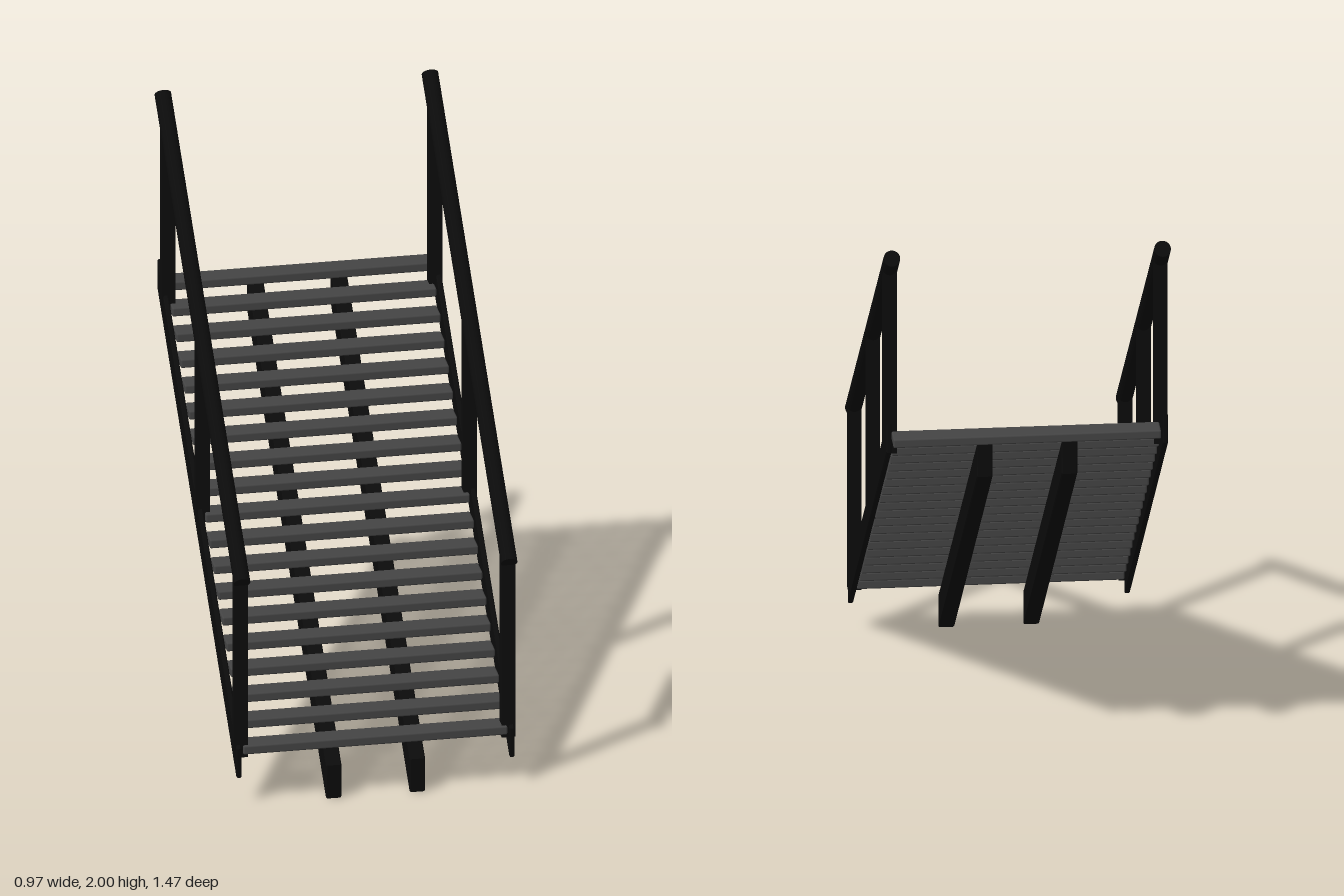
import * as THREE from 'three';
import { RoundedBoxGeometry } from 'three/addons/geometries/RoundedBoxGeometry.js';

const SLOPE = 0.813; // rise over run
const FRONT = 0.718; // half length in z
const TREADS = 19;

const black = new THREE.MeshStandardMaterial({ color: 0x0b0b0b });
const grey = new THREE.MeshStandardMaterial({ color: 0x444444 });

function add(parent, name, geometry, material, x = 0, y = 0, z = 0) {
  const mesh = new THREE.Mesh(geometry, material);
  mesh.name = name;
  mesh.position.set(x, y, z);
  parent.add(mesh);
  return mesh;
}

// Sloping beam with plumb-cut ends; bottom and top are heights at the front end
function beamGeometry(bottom, top, width) {
  const bevel = 0.004;
  const rise = 2 * FRONT * SLOPE;
  const f = FRONT - bevel;
  const shape = new THREE.Shape([
    new THREE.Vector2(-f, bottom + bevel),
    new THREE.Vector2(f, bottom + rise + bevel),
    new THREE.Vector2(f, top + rise - bevel),
    new THREE.Vector2(-f, top - bevel),
  ]);
  const geometry = new THREE.ExtrudeGeometry(shape, {
    depth: width - 2 * bevel, bevelEnabled: true, bevelSize: bevel,
    bevelThickness: bevel, bevelSegments: 1,
  });
  geometry.translate(0, 0, -width / 2 + bevel);
  geometry.rotateY(Math.PI / 2); // shape x becomes -z
  return geometry;
}

export function createModel() {
  const model = new THREE.Group();
  model.name = 'staircase';

  // Treads
  const treadGeometry = new RoundedBoxGeometry(0.9, 0.032, 0.077, 2, 0.006);
  const treads = new THREE.Group();
  treads.name = 'treads';
  model.add(treads);
  for (let i = 0; i < TREADS; i++) {
    add(treads, 'tread', treadGeometry, grey, 0, 0.197 + i * 0.0614, 0.677 - i * 0.0756);
  }

  const sideBeam = beamGeometry(0.1, 0.207, 0.018);
  const centreBeam = beamGeometry(0, 0.122, 0.053);
  const postGeometry = new THREE.BoxGeometry(0.046, 0.67, 0.042);

  // Handrail axis, running parallel to the flight
  const railStart = new THREE.Vector3(0, 0.812, 0.717);
  const railEnd = new THREE.Vector3(0, 1.979, -0.718);
  const railDir = railEnd.clone().sub(railStart);
  const railMid = railStart.clone().add(railEnd).multiplyScalar(0.5);
  const railGeometry = new THREE.CylinderGeometry(0.028, 0.028, railDir.length(), 24);

  for (const side of [-1, 1]) {
    const half = new THREE.Group();
    half.name = side > 0 ? 'leftSide' : 'rightSide';
    model.add(half);

    add(half, 'sideStringer', sideBeam, black, side * 0.465);
    add(half, 'centreStringer', centreBeam, black, side * 0.1425);

    const rail = add(half, 'handrail', railGeometry, black, side * 0.455, railMid.y, railMid.z);
    rail.quaternion.setFromUnitVectors(new THREE.Vector3(0, 1, 0), railDir.clone().normalize());

    // Posts hang from the rail axis down to the stringer
    for (const z of [0.685, -0.005, -0.63]) {
      const top = railMid.y - z * SLOPE;
      add(half, 'railPost', postGeometry, black, side * 0.455, top - 0.335, z);
    }
  }
  return model;
}
